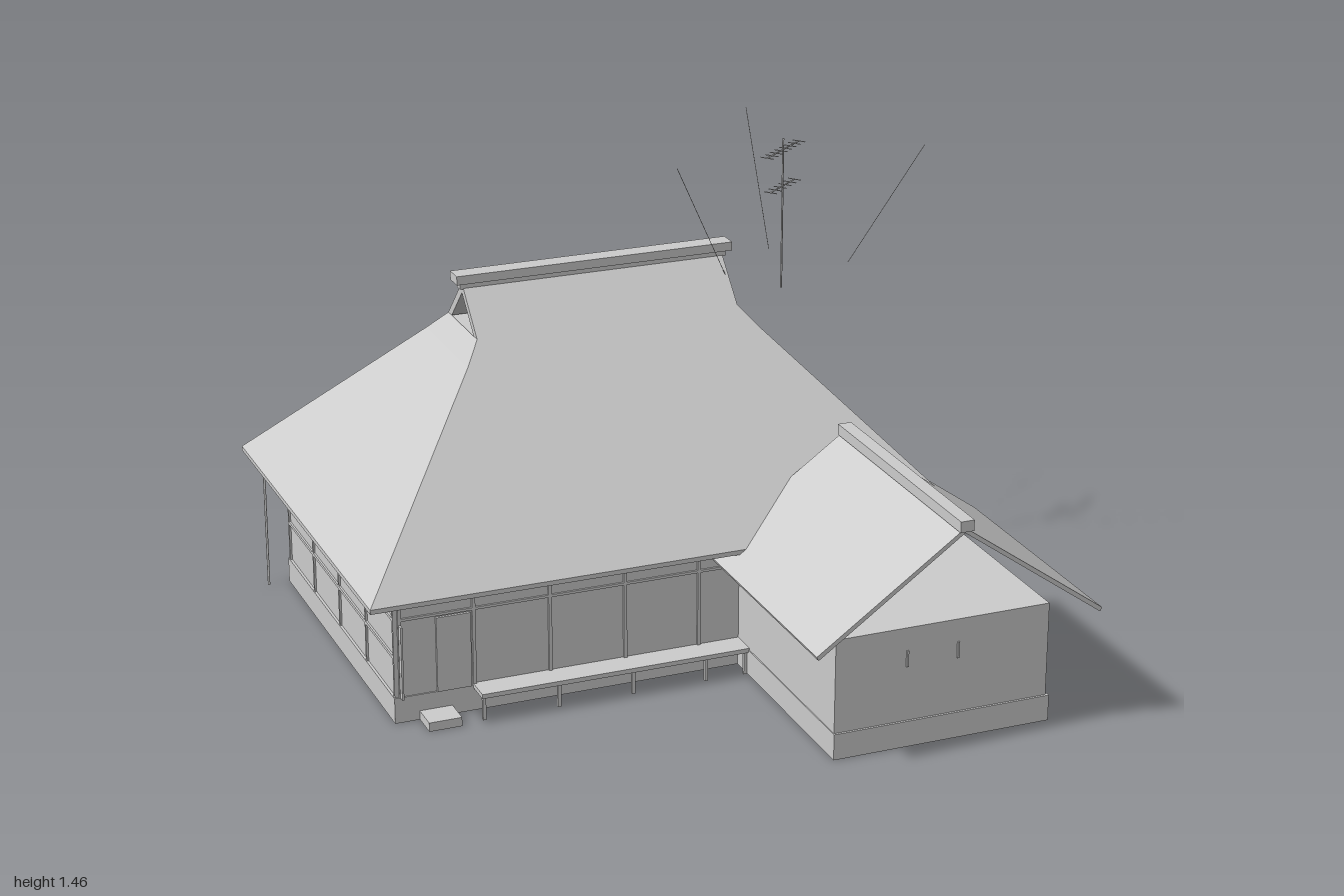
import * as THREE from 'three';

export function createModel() {
  const house = new THREE.Group();
  const grey = new THREE.MeshStandardMaterial({ color: 0xcccccc, side: THREE.DoubleSide });
  grey.name = 'plain grey';
  const CX = -0.055, CZ = -0.33; // roof centre

  const add = (name, geometry) => {
    const m = new THREE.Mesh(geometry, grey);
    m.name = name;
    house.add(m);
    return m;
  };
  // Box given by its limits on each axis
  const box = (name, x0, x1, y0, y1, z0, z1) => {
    const m = add(name, new THREE.BoxGeometry(x1 - x0, y1 - y0, z1 - z0));
    m.position.set((x0 + x1) / 2, (y0 + y1) / 2, (z0 + z1) / 2);
    return m;
  };
  // Round bar between two points
  const rod = (name, a, b, r, sides = 6) => {
    const p = new THREE.Vector3(...a), q = new THREE.Vector3(...b);
    const m = add(name, new THREE.CylinderGeometry(r, r, p.distanceTo(q), sides));
    m.position.copy(p).add(q).multiplyScalar(0.5);
    m.quaternion.setFromUnitVectors(new THREE.Vector3(0, 1, 0), q.sub(p).normalize());
    return m;
  };
  // Flat faces from polygon corners, each fanned into triangles
  const faces = (name, polys) => {
    const pos = [];
    for (const p of polys)
      for (let i = 1; i < p.length - 1; i++) pos.push(...p[0], ...p[i], ...p[i + 1]);
    const g = new THREE.BufferGeometry();
    g.setAttribute('position', new THREE.Float32BufferAttribute(pos, 3));
    g.computeVertexNormals();
    return add(name, g);
  };

  // Walls, with a slightly wider skirting
  box('mainWalls', -0.872, 0.765, 0, 0.425, -0.882, 0.2);
  box('mainSkirting', -0.88, 0.773, 0, 0.08, -0.89, 0.204);
  box('annexWalls', 0.2, 0.872, 0, 0.37, 0.19, 0.88);
  box('annexSkirting', 0.197, 0.88, 0, 0.08, 0.195, 0.887);

  // Thatched roof: rows of [height, half width, half depth]
  const rows = [[0.435, 0.93, 0.67], [0.93, 0.465, 0.19], [0.99, 0.415, 0.131]];
  const ring = ([y, w, d]) => [[-w, d], [w, d], [w, -d], [-w, -d]].map(([x, z]) => [CX + x, y, CZ + z]);
  const slopes = [];
  for (let i = 0; i < 2; i++) {
    const lo = ring(rows[i]), hi = ring(rows[i + 1]);
    for (let k = 0; k < 4; k++) slopes.push([lo[k], lo[(k + 1) % 4], hi[(k + 1) % 4], hi[k]]);
  }
  const top = ring(rows[2]);
  const endL = [CX - 0.415, 1.125, CZ], endR = [CX + 0.415, 1.125, CZ];
  slopes.push([top[0], top[1], endR, endL], [top[2], top[3], endL, endR]);
  faces('thatchedRoof', slopes);
  box('eaves', CX - 0.93, CX + 0.93, 0.421, 0.435, CZ - 0.67, CZ + 0.67);
  box('ridgeCap', -0.495, 0.385, 1.128, 1.155, CZ - 0.03, CZ + 0.03);
  box('ridgeBeam', -0.48, 0.37, 1.108, 1.13, CZ - 0.014, CZ + 0.014);

  // Recessed gablets under both ends of the ridge
  for (const s of [-1, 1]) {
    const edge = new THREE.Shape([[-0.131, 0.99], [0, 1.125], [0.131, 0.99], [0.1, 0.99], [0, 1.093], [-0.1, 0.99]]
      .map(([a, b]) => new THREE.Vector2(a, b)));
    const verge = add('gabletVerge', new THREE.ExtrudeGeometry(edge, { depth: 0.07, bevelEnabled: false }));
    verge.rotation.y = Math.PI / 2;
    verge.position.set(CX + (s > 0 ? 0.345 : -0.415), 0, CZ);
    const x = CX + s * 0.34, xo = CX + s * 0.418;
    const wall = [[x, 0.975, CZ + 0.135], [x, 0.975, CZ - 0.135], [x, 1.115, CZ]];
    faces('gabletWall', [s > 0 ? wall : wall.reverse()]);
    faces('gabletFloor', [[[Math.min(x, xo), 0.985, CZ + 0.13], [Math.max(x, xo), 0.985, CZ + 0.13],
      [Math.max(x, xo), 0.985, CZ - 0.13], [Math.min(x, xo), 0.985, CZ - 0.13]]]);
  }

  // Annex roof: thin open gable with a ridge cap
  const chevron = new THREE.Shape([[0.09, 0.385], [0.535, 0.7], [0.98, 0.385], [0.974, 0.373], [0.535, 0.685], [0.096, 0.373]]
    .map(([a, b]) => new THREE.Vector2(a, b)));
  add('annexRoof', new THREE.ExtrudeGeometry(chevron, { depth: 0.79, bevelEnabled: false })).position.z = 0.2;
  box('annexRidgeCap', 0.515, 0.557, 0.692, 0.725, 0.2, 1);

  // Timber framing on the back and sides
  const t = 0.006;
  for (const y of [0.2, 0.32, 0.41]) {
    box('backRail', -0.875, 0.768, y, y + 0.01, -0.882 - t, -0.88);
    box('rightRail', 0.765, 0.765 + t, y, y + 0.01, -0.88, 0.2);
    box('leftRail', -0.872 - t, -0.87, y, y + 0.01, -0.88, 0.2);
  }
  for (let i = 0; i <= 7; i++) {
    const x = -0.872 + i * 0.2325;
    box('backPost', x, x + 0.01, 0.08, 0.42, -0.882 - t, -0.88);
  }
  for (let i = 0; i <= 4; i++) {
    const z = -0.882 + i * 0.268;
    box('rightPost', 0.765, 0.765 + t, 0.08, 0.42, z, z + 0.01);
    box('leftPost', -0.872 - t, -0.87, 0.08, 0.42, z, z + 0.01);
  }
  for (const x of [-0.49, 0.325])
    for (const d of [-0.04, 0, 0.04]) box('windowBar', x + d, x + d + 0.008, 0.3, 0.39, -0.894, -0.88);
  for (const x of [0.42, 0.58]) box('annexWallPeg', x, x + 0.006, 0.25, 0.3, 0.88, 0.886);

  // Front framing, door and sliding screens
  box('frontTopRail', -0.86, 0.77, 0.408, 0.418, 0.2, 0.206);
  box('frontRail', -0.86, 0.2, 0.32, 0.328, 0.2, 0.206);
  for (const x of [-0.865, -0.64, -0.405, -0.17, 0.065]) box('frontPost', x, x + 0.01, 0.08, 0.42, 0.2, 0.207);
  box('door', -0.75, -0.645, 0.08, 0.315, 0.2, 0.208);
  box('shutterEdge', -0.863, -0.857, 0.08, 0.31, 0.2, 0.225);

  // Veranda deck on short legs, and a stepping block
  box('verandaDeck', -0.64, 0.2, 0.072, 0.086, 0.2, 0.285);
  for (const x of [-0.632, -0.4, -0.168, 0.064, 0.19]) box('verandaLeg', x - 0.005, x + 0.005, 0, 0.072, 0.268, 0.278);
  box('doorStep', -0.805, -0.705, 0, 0.028, 0.2, 0.29);

  // Corner downpipe
  rod('downpipe', [-0.948, 0, -0.885], [-0.948, 0.425, -0.885], 0.004);

  // Stove chimney with a conical cap
  rod('chimneyPipe', [0.62, 0.035, -0.93], [0.62, 0.69, -0.93], 0.009, 12);
  rod('chimneyElbow', [0.62, 0.23, -0.88], [0.62, 0.23, -0.93], 0.006, 8);
  add('chimneyCap', new THREE.ConeGeometry(0.028, 0.02, 12)).position.set(0.62, 0.7, -0.93);

  // Water heater tank on legs
  box('heaterTank', 0.785, 0.86, 0.055, 0.18, -0.575, -0.41);
  for (const x of [0.79, 0.855]) for (const z of [-0.57, -0.415])
    box('heaterLeg', x - 0.004, x + 0.004, 0, 0.06, z - 0.004, z + 0.004);
  rod('heaterCap', [0.82, 0.18, -0.545], [0.82, 0.187, -0.545], 0.008, 8);

  // Pair of gas bottles on a base
  box('gasBase', 0.785, 0.865, 0.004, 0.014, -0.8, -0.67);
  const profile = [[0, 0], [0.018, 0], [0.018, 0.125], [0.012, 0.14], [0.009, 0.145], [0.009, 0.16], [0, 0.16]]
    .map(([a, b]) => new THREE.Vector2(a, b));
  for (const z of [-0.697, -0.763]) add('gasBottle', new THREE.LatheGeometry(profile, 12)).position.set(0.82, 0.014, z);
  box('gasRegulator', 0.778, 0.786, 0.06, 0.19, -0.735, -0.728);

  // Aerial: mast, two booms with cross elements, and guy wires
  rod('aerialMast', [0.56, 0.98, -0.323], [0.56, 1.455, -0.323], 0.003);
  const dir = [0.78, -0.625];
  for (const [y, len, n] of [[1.42, 0.105, 8], [1.305, 0.08, 6]]) {
    const at = (u, v) => [0.56 + dir[0] * u - dir[1] * v, y, -0.323 + dir[1] * u + dir[0] * v];
    rod('aerialBoom', at(-len, 0), at(len, 0), 0.0025);
    for (let i = 0; i < n; i++) {
      const u = -len + (2 * len * i) / (n - 1);
      rod('aerialElement', at(u, -0.022), at(u, 0.022), 0.0015, 4);
    }
  }
  for (const [a, b] of [
    [[0.15, 1.45, -0.17], [0.35, 1.065, -0.27]],
    [[0.935, 1.45, -0.12], [0.75, 1.06, -0.25]],
    [[0.597, 1.45, -0.69], [0.578, 1.06, -0.46]],
  ]) rod('guyWire', a, b, 0.001, 4);

  return house;
}
